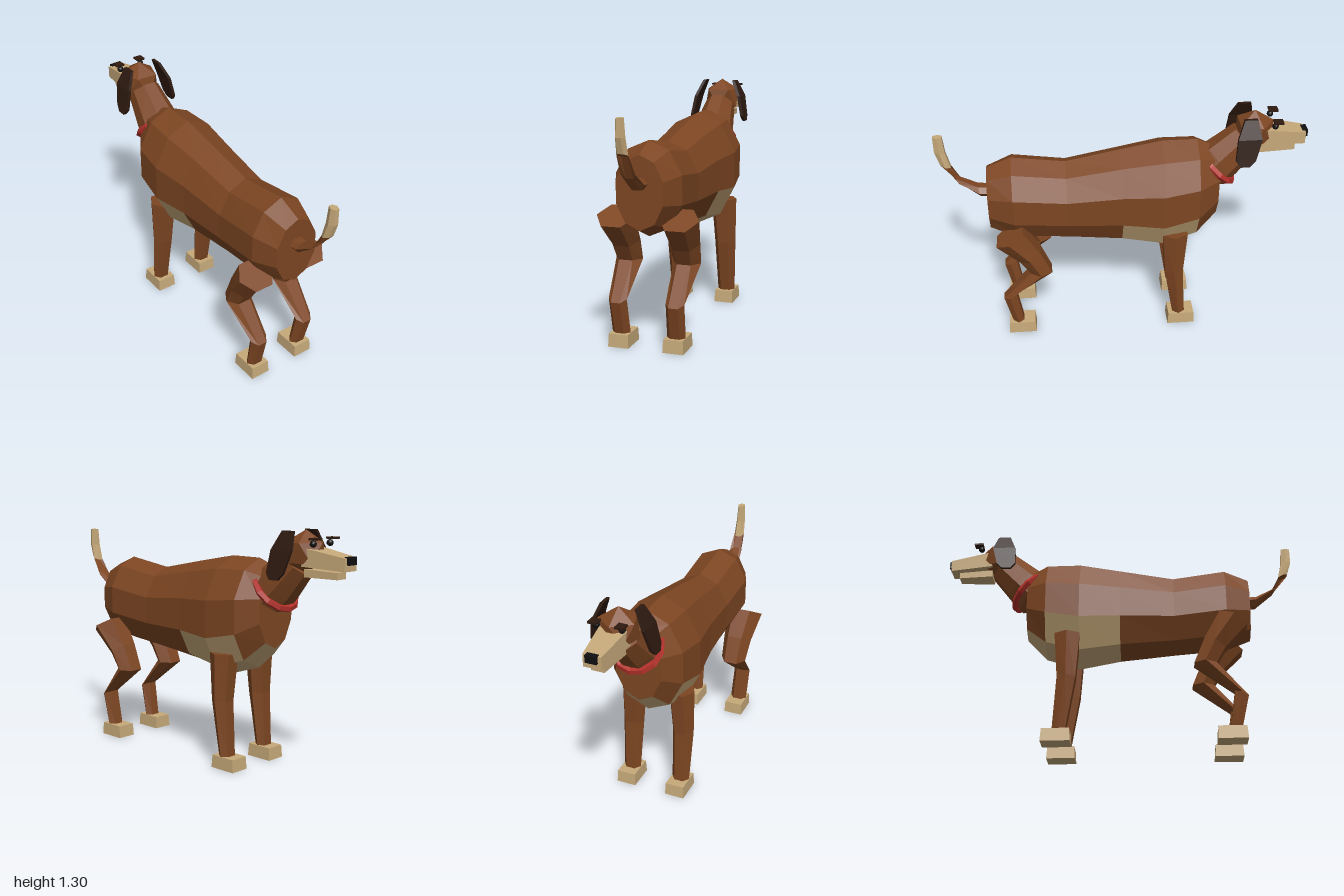
import * as THREE from 'three';

const BROWN = 0x7d4622, TAN = 0xc6a97a, DARK = 0x2e1a10, BLACK = 0x101010, RED = 0xb2302a;
const mat = (color) => new THREE.MeshStandardMaterial({ color, flatShading: true });

// Elliptical ring at (x, y, z): rx across, ru along a direction tilted in the y-z plane
// (0 degrees = up, 90 degrees = +z).
function ring(x, y, z, rx, ru, tilt = 0, n = 6, phase = 30) {
  const t = THREE.MathUtils.degToRad(tilt);
  return Array.from({ length: n }, (_, k) => {
    const a = (k / n) * Math.PI * 2 + THREE.MathUtils.degToRad(phase);
    const u = Math.cos(a) * ru;
    return new THREE.Vector3(x + Math.sin(a) * rx, y + u * Math.cos(t), z + u * Math.sin(t));
  });
}

// Capped skin over a list of rings; keep(segment, side) selects faces (segment -1 = caps).
function loft(rings, keep = () => true) {
  const n = rings[0].length, tris = [];
  let volume = 0;
  const add = (a, b, c, seg, side) => {
    volume += a.dot(b.clone().cross(c));
    if (keep(seg, side)) tris.push([a, b, c]);
  };
  for (let i = 0; i < rings.length - 1; i++) {
    for (let j = 0; j < n; j++) {
      const a = rings[i][j], b = rings[i][(j + 1) % n];
      const c = rings[i + 1][(j + 1) % n], d = rings[i + 1][j];
      add(a, b, c, i, j);
      add(a, c, d, i, j);
    }
  }
  const first = rings[0], last = rings[rings.length - 1];
  for (let j = 1; j < n - 1; j++) {
    add(first[0], first[j + 1], first[j], -1, j);
    add(last[0], last[j], last[j + 1], -1, j);
  }
  const points = tris.flatMap(([a, b, c]) => (volume > 0 ? [a, b, c] : [a, c, b]));
  const geometry = new THREE.BufferGeometry().setFromPoints(points);
  geometry.computeVertexNormals();
  return geometry;
}

// Box lofted along z between rectangles [z, halfWidth, yLow, yHigh]
function taperedBox(sections) {
  return loft(sections.map(([z, w, lo, hi]) => [
    new THREE.Vector3(-w, lo, z), new THREE.Vector3(w, lo, z),
    new THREE.Vector3(w, hi, z), new THREE.Vector3(-w, hi, z),
  ]));
}

export function createModel() {
  const model = new THREE.Group();
  const part = (name, geometry, color, parent = model) => {
    const mesh = new THREE.Mesh(geometry, mat(color));
    mesh.name = name;
    parent.add(mesh);
    return mesh;
  };

  // Body sections: z, bottom, top, half width
  const bodyRings = [
    [0.735, 0.64, 1.02, 0.13], [0.6, 0.585, 1.075, 0.185], [0.31, 0.56, 1.035, 0.177],
    [0.01, 0.528, 1.095, 0.2], [-0.215, 0.485, 1.137, 0.231], [-0.405, 0.545, 1.137, 0.21],
    [-0.518, 0.665, 1.085, 0.135],
  ].map(([z, lo, hi, w]) => ring(0, (lo + hi) / 2, z, w, (hi - lo) / 2, 0, 10, 0));
  const isChest = (seg, side) =>
    ((seg === 3 || seg === 4) && side >= 3 && side <= 6) || (seg === 5 && (side === 4 || side === 5));
  part('body', loft(bodyRings, (s, j) => !isChest(s, j)), BROWN);
  part('chestPatch', loft(bodyRings, isChest), TAN);

  // Neck and collar
  part('neck', loft([
    ring(0, 0.95, -0.48, 0.125, 0.125, 45, 8, 22.5),
    ring(0, 1.015, -0.545, 0.115, 0.122, 45, 8, 22.5),
    ring(0, 1.14, -0.67, 0.09, 0.1, 45, 8, 22.5),
  ]), BROWN);
  const collar = part('collar', new THREE.TorusGeometry(0.125, 0.02, 5, 12), RED);
  collar.position.set(0, 0.975, -0.515);
  collar.rotation.x = Math.PI / 4;

  // Head: icosahedron standing on a corner, with another corner forward
  const skull = new THREE.IcosahedronGeometry(0.115, 0);
  skull.rotateZ(Math.atan(2 / (1 + Math.sqrt(5)))).rotateY(-Math.PI / 2);
  part('head', skull, BROWN).position.set(0, 1.185, -0.71);
  part('muzzle', taperedBox([[-0.74, 0.075, 1.12, 1.215], [-0.985, 0.048, 1.108, 1.175]]), TAN);
  part('lowerJaw', taperedBox([[-0.74, 0.05, 1.065, 1.106], [-0.935, 0.035, 1.065, 1.1]]), TAN);
  part('nose', new THREE.BoxGeometry(0.06, 0.04, 0.03), BLACK).position.set(0, 1.16, -0.985);

  for (const [side, s] of [['left', 1], ['right', -1]]) {
    // Eye and brow
    part(side + 'Eye', new THREE.IcosahedronGeometry(0.018, 1), BLACK).position.set(0.068 * s, 1.235, -0.808);
    part(side + 'Brow', new THREE.BoxGeometry(0.048, 0.01, 0.05), DARK).position.set(0.07 * s, 1.26, -0.823);

    // Ear sections: x, y, z, half length in z
    const ear = [
      [0.092, 1.295, -0.67, 0.035], [0.135, 1.2, -0.663, 0.064],
      [0.158, 1.085, -0.643, 0.053], [0.165, 1.052, -0.64, 0.025],
    ].map(([x, y, z, l]) => [[-1, -1], [1, -1], [1, 1], [-1, 1]].map(
      ([a, b]) => new THREE.Vector3(s * (x + a * 0.009), y, z + b * l)));
    part(side + 'Ear', loft(ear), DARK);

    // Legs: x, y, z, half width, half depth, tilt
    const legs = {
      HindLeg: [
        [0.17, 0.685, 0.63, 0.105, 0.097, 120], [0.162, 0.545, 0.525, 0.085, 0.072, 120],
        [0.16, 0.43, 0.47, 0.075, 0.069, 90], [0.155, 0.257, 0.655, 0.05, 0.044, 110],
        [0.15, 0.06, 0.617, 0.05, 0.035, 90],
      ],
      ForeLeg: [
        [0.14, 0.63, -0.28, 0.075, 0.08, 90], [0.15, 0.37, -0.28, 0.062, 0.058, 90],
        [0.15, 0.06, -0.315, 0.05, 0.04, 90],
      ],
    };
    for (const [name, sections] of Object.entries(legs)) {
      const group = new THREE.Group();
      group.name = side + name;
      model.add(group);
      part('leg', loft(sections.map(([x, ...rest]) => ring(x * s, ...rest))), BROWN, group);
      // Paw: four-sided frustum
      const paw = new THREE.CylinderGeometry(0.094, 0.1, 0.07, 4).rotateY(Math.PI / 4);
      paw.scale(0.79, 1, 1.11);
      part('paw', paw, TAN, group).position.set(0.149 * s, 0.035, name === 'HindLeg' ? 0.597 : -0.328);
    }
  }

  // Tail sections: y, z, half width, half thickness, tilt
  const tail = [
    [0.875, 0.7, 0.046, 0.032, 0], [0.88, 0.78, 0.044, 0.034, 10], [0.945, 0.88, 0.038, 0.034, 40],
    [1.045, 0.945, 0.03, 0.032, 70], [1.13, 0.968, 0.026, 0.032, 85], [1.223, 0.972, 0.021, 0.028, 90],
  ].map((section) => ring(0, ...section));
  part('tail', loft(tail.slice(0, 4)), BROWN);
  part('tailTip', loft(tail.slice(3)), TAN);

  return model;
}
